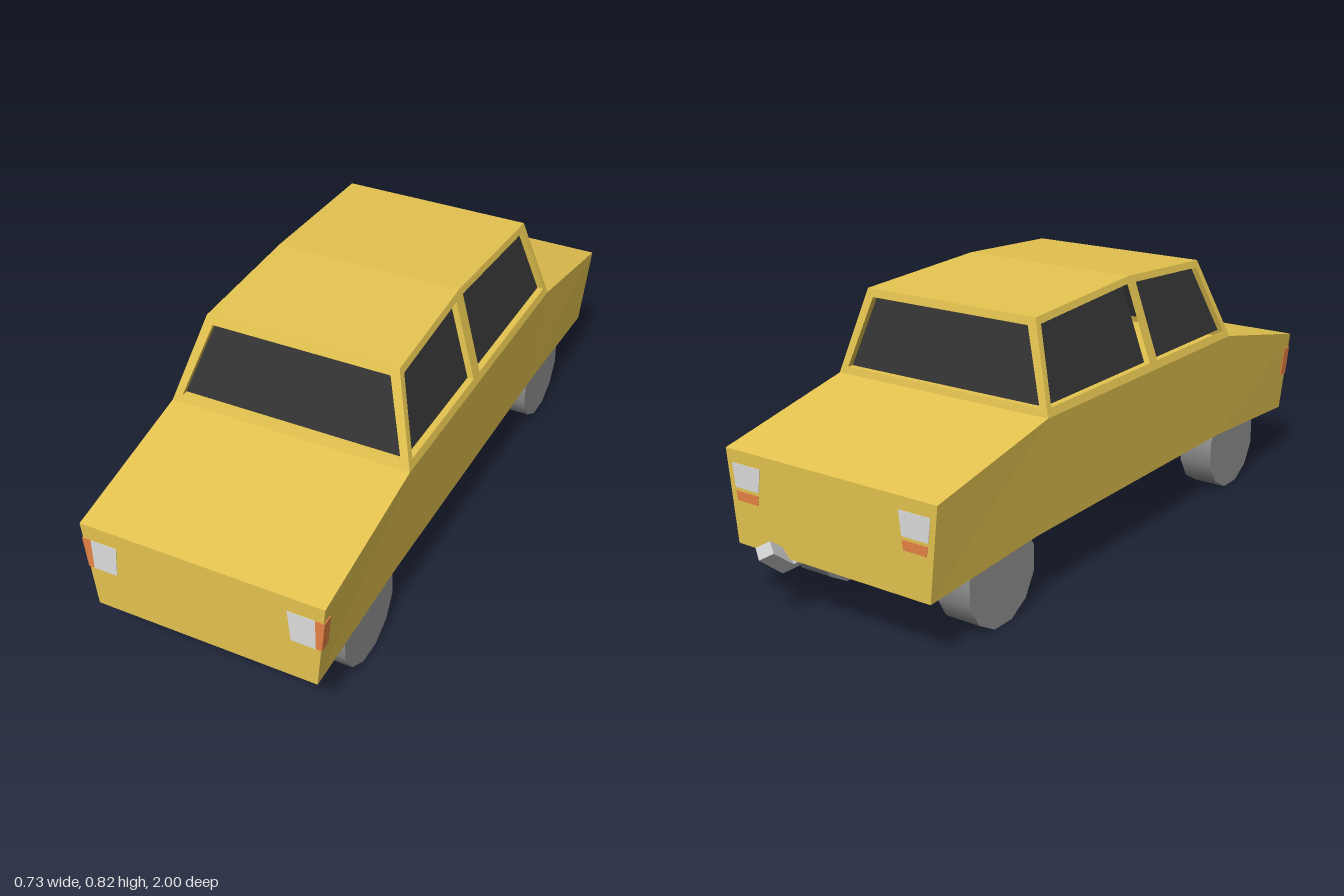
import * as THREE from 'three';

const mat = (name, color) => {
  const m = new THREE.MeshStandardMaterial({ color });
  m.name = name;
  return m;
};

// Solid through four-cornered rings, running from front (+z) to back,
// each ring counter-clockwise as seen from the front.
function loft(rings) {
  const pos = [];
  const quad = (a, b, c, d) => pos.push(...a, ...b, ...c, ...a, ...c, ...d);
  for (let r = 0; r < rings.length - 1; r++) {
    const A = rings[r], B = rings[r + 1];
    for (let i = 0; i < 4; i++) {
      const j = (i + 1) % 4;
      quad(A[i], B[i], B[j], A[j]);
    }
  }
  quad(...rings[0]);
  quad(...[...rings[rings.length - 1]].reverse());
  const g = new THREE.BufferGeometry();
  g.setAttribute('position', new THREE.Float32BufferAttribute(pos, 3));
  g.computeVertexNormals();
  return g;
}

// Symmetric trapezoid section of the body at depth z
const section = (z, y0, w0, y1, w1) => [[-w0, y0, z], [w0, y0, z], [w1, y1, z], [-w1, y1, z]];

export function createModel() {
  const paint = mat('yellow paint', 0xe5c450);
  const glass = mat('dark glass', 0x343434);
  const rubber = mat('grey tyre', 0x8e8e8e);
  const metal = mat('exhaust metal', 0xc8c8c8);
  const lens = mat('lamp lens', 0xdedede);
  const amber = mat('orange lens', 0xe68445);

  const car = new THREE.Group();
  car.name = 'car';
  const add = (parent, name, geo, material) => {
    const m = new THREE.Mesh(geo, material);
    m.name = name;
    parent.add(m);
    return m;
  };

  // Lower body: nose, cowl, rear deck start, tail
  add(car, 'body', loft([
    section(1, 0.187, 0.332, 0.455, 0.36),
    section(0.54, 0.213, 0.334, 0.55, 0.365),
    section(-0.46, 0.213, 0.334, 0.55, 0.365),
    section(-0.915, 0.187, 0.332, 0.455, 0.36),
  ]), paint);

  // Roof with a shallow ridge
  add(car, 'roof', loft([
    section(0.45, 0.797, 0.29, 0.8, 0.29),
    section(0.06, 0.819, 0.283, 0.822, 0.283),
    section(-0.41, 0.797, 0.29, 0.8, 0.29),
  ]), paint);

  // Cabin walls: flat frames with openings, sheared to lean inwards, glass set behind
  const cabin = new THREE.Group();
  cabin.name = 'cabin';
  car.add(cabin);
  const DEPTH = 0.02, SILL = 0.55;
  const wall = (name, outline, openings, flip, u, v, w, x, z) => {
    const toShape = pts => new THREE.Shape(pts.map(([a, b]) => new THREE.Vector2(a * flip, b - SILL)));
    const place = new THREE.Matrix4()
      .makeBasis(new THREE.Vector3(...u), new THREE.Vector3(...v), new THREE.Vector3(...w))
      .setPosition(x, SILL, z);
    const build = (shape, depth, offset) => new THREE.ExtrudeGeometry(shape, { depth, bevelEnabled: false })
      .translate(0, 0, offset).applyMatrix4(place);
    const frame = toShape(outline);
    openings.forEach(o => frame.holes.push(toShape(o)));
    add(cabin, name + 'Frame', build(frame, DEPTH, -DEPTH), paint);
    openings.forEach(o => add(cabin, name + 'Glass', build(toShape(o), 0.005, -DEPTH - 0.004), glass));
  };

  const endOutline = [[-0.365, 0.55], [0.365, 0.55], [0.29, 0.8], [-0.29, 0.8]];
  const endOpening = [[-0.335, 0.571], [0.335, 0.571], [0.268, 0.777], [-0.268, 0.777]];
  wall('windscreen', endOutline, [endOpening], 1, [1, 0, 0], [0, 1, -0.36], [0, 0, 1], 0, 0.54);
  wall('rearWindow', endOutline, [endOpening], 1, [-1, 0, 0], [0, 1, 0.2], [0, 0, -1], 0, -0.46);

  const sideOutline = [[0.54, 0.55], [-0.46, 0.55], [-0.41, 0.8], [0.06, 0.822], [0.45, 0.8]];
  const sideOpenings = [
    [[0.51, 0.573], [0.107, 0.573], [0.09, 0.8], [0.435, 0.78]],
    [[0.065, 0.573], [-0.435, 0.573], [-0.404, 0.78], [0.045, 0.802]],
  ];
  for (const s of [1, -1]) {
    wall(s > 0 ? 'leftSide' : 'rightSide', sideOutline, sideOpenings, -s,
      [0, 0, -s], [-0.3 * s, 1, 0], [s, 0, 0], 0.365 * s, 0);
  }

  // Lamps: thin blocks given by their left-hand corners, mirrored to the right
  const lamp = (name, corners, z0, z1, material) => {
    for (const s of [1, -1]) {
      const pts = corners.map(([x, y]) => [x * s, y]);
      if (s < 0) pts.reverse();
      add(car, (s > 0 ? 'left' : 'right') + name,
        loft([z0, z1].map(z => pts.map(([x, y]) => [x, y, z]))), material);
    }
  };
  lamp('Headlamp', [[0.26, 0.313], [0.331, 0.313], [0.331, 0.408], [0.252, 0.408]], 1.0015, 0.998, lens);
  lamp('FrontIndicator', [[0.331, 0.313], [0.348, 0.313], [0.358, 0.408], [0.331, 0.408]], 1.0015, 0.967, amber);
  lamp('TailLamp', [[0.245, 0.35], [0.33, 0.35], [0.338, 0.418], [0.237, 0.418]], -0.912, -0.9165, lens);
  lamp('RearIndicator', [[0.25, 0.313], [0.324, 0.313], [0.328, 0.34], [0.246, 0.34]], -0.912, -0.9165, amber);

  // Twelve-sided wheels
  const wheelGeo = new THREE.CylinderGeometry(0.147, 0.147, 0.11, 12)
    .rotateY(Math.PI / 12).rotateZ(Math.PI / 2);
  for (const [end, z] of [['front', 0.68], ['rear', -0.598]]) {
    for (const s of [1, -1]) {
      add(car, end + (s > 0 ? 'Left' : 'Right') + 'Wheel', wheelGeo, rubber).position.set(0.262 * s, 0.143, z);
    }
  }

  // Exhaust: diamond-section pipe kicked up at the end
  const diamond = (zLow, yLow, zHigh, yHigh) => {
    const y = (yLow + yHigh) / 2, z = (zLow + zHigh) / 2;
    return [[0.17, yLow, zLow], [0.203, y, z], [0.17, yHigh, zHigh], [0.137, y, z]];
  };
  add(car, 'exhaustPipe', loft([
    diamond(-0.78, 0.14, -0.78, 0.205),
    diamond(-0.918, 0.14, -0.9, 0.205),
    diamond(-1, 0.207, -0.957, 0.247),
  ]), metal);

  return car;
}
